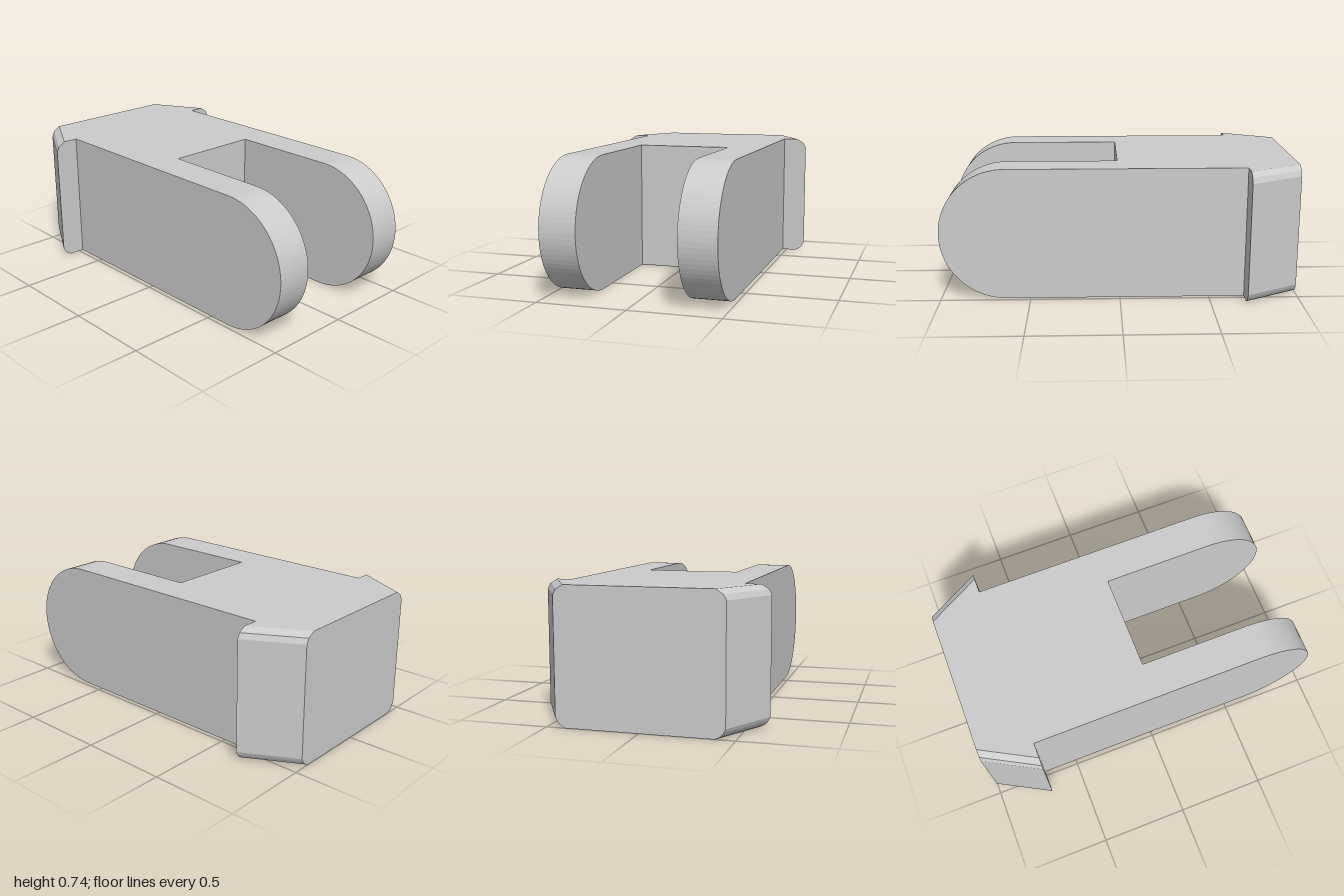
import * as THREE from 'three';

const HEIGHT = 0.74;
const R = HEIGHT / 2;

// Height of each layer of the barbed head and how far its edge is drawn in there
const LAYERS = [
  [0, 0.055], [0.015, 0.025], [0.035, 0.01], [0.055, 0],
  [0.685, 0], [0.705, 0.01], [0.715, 0.015], [HEIGHT, 0.055],
];

// Plan outline extruded upward; the barb edges are chamfered layer by layer
function createBody(material) {
  const half = [[-1, 0.45], [-0.7, 0.615], [-0.7, 0.475], [0.01, 0.475]];
  const mirrored = half.map(([x, z]) => [x, -z]).reverse();
  const outline = [...half, ...mirrored].map(([x, z]) => new THREE.Vector2(x, z));
  const steps = LAYERS.length - 1;
  const geometry = new THREE.ExtrudeGeometry(new THREE.Shape(outline), {
    depth: 1, steps, bevelEnabled: false,
  });
  geometry.rotateX(-Math.PI / 2);

  const p = geometry.attributes.position;
  for (let i = 0; i < p.count; i++) {
    const [y, inset] = LAYERS[Math.round(p.getY(i) * steps)];
    const z = p.getZ(i);
    const onBarb = p.getX(i) < -0.9 || Math.abs(z) > 0.55;
    p.setY(i, y);
    if (onBarb) p.setZ(i, z - Math.sign(z) * inset);
  }
  geometry.computeVertexNormals();

  const body = new THREE.Mesh(geometry, material);
  body.name = 'barbedBody';
  return body;
}

// Flat prong with a half-round tip
function createProng(name, z, material) {
  const shape = new THREE.Shape();
  shape.moveTo(0.01, 0);
  shape.lineTo(1 - R, 0);
  shape.absarc(1 - R, R, R, -Math.PI / 2, Math.PI / 2, false);
  shape.lineTo(0.01, HEIGHT);
  shape.closePath();
  const geometry = new THREE.ExtrudeGeometry(shape, {
    depth: 0.205, bevelEnabled: false, curveSegments: 20,
  });
  const prong = new THREE.Mesh(geometry, material);
  prong.name = name;
  prong.position.z = z;
  return prong;
}

export function createModel() {
  const model = new THREE.Group();
  model.name = 'forkedClip';
  const material = new THREE.MeshStandardMaterial({ color: 0xcccccc, flatShading: true });
  model.add(
    createBody(material),
    createProng('frontProng', 0.27, material),
    createProng('backProng', -0.475, material),
  );
  return model;
}
